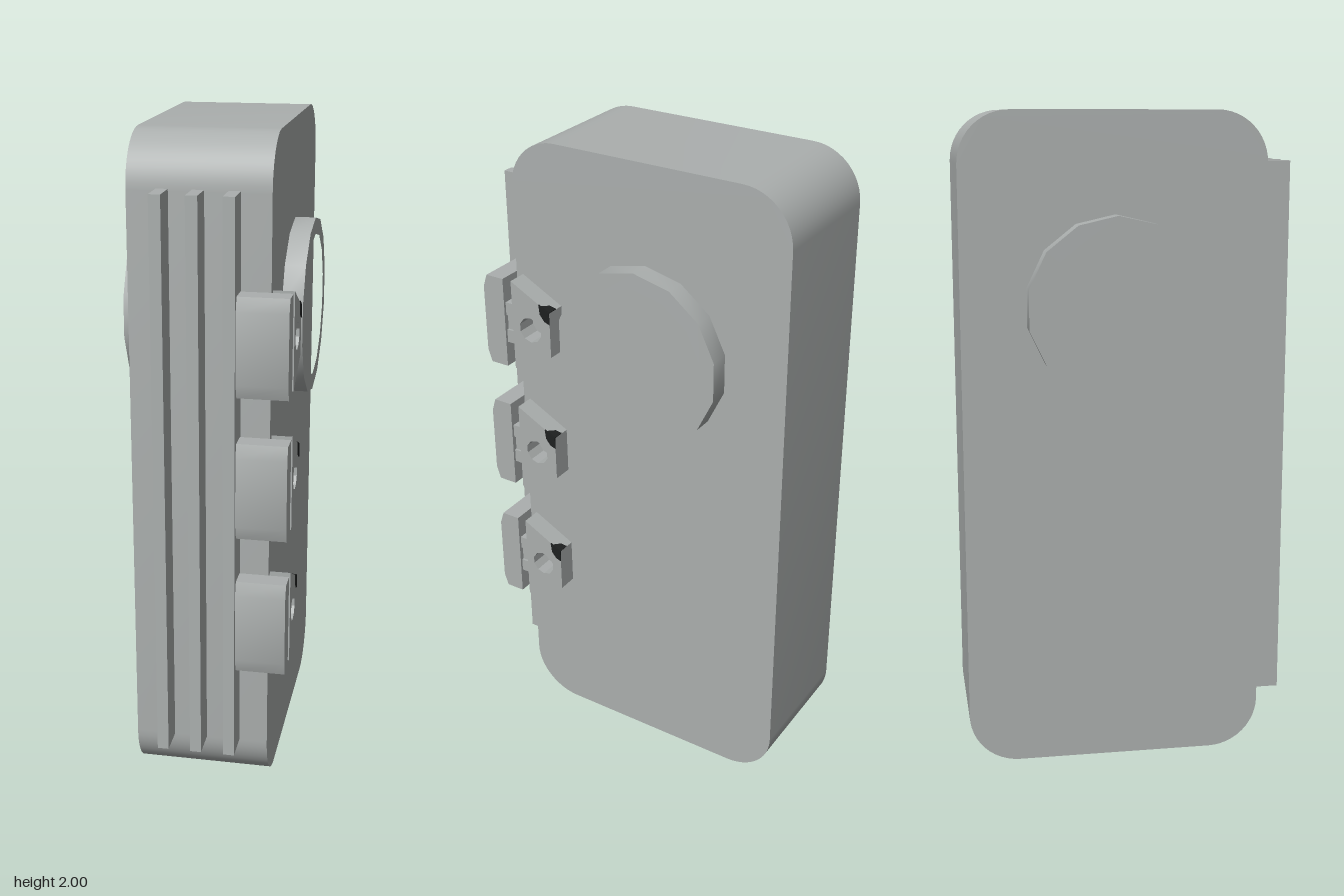
import * as THREE from 'three';
import { toCreasedNormals } from 'three/addons/utils/BufferGeometryUtils.js';

const metal = new THREE.MeshStandardMaterial({ color: 0xabafae });
metal.name = 'grey metal';
const black = new THREE.MeshStandardMaterial({ color: 0x1e2020 });
black.name = 'black mark';

function addMesh(parent, name, geometry, material = metal) {
  const mesh = new THREE.Mesh(geometry, material);
  mesh.name = name;
  parent.add(mesh);
  return mesh;
}

// Box given by its lower and upper corners
function boxBetween(x0, x1, y0, y1, z0, z1) {
  return new THREE.BoxGeometry(x1 - x0, y1 - y0, z1 - z0)
    .translate((x0 + x1) / 2, (y0 + y1) / 2, (z0 + z1) / 2);
}

// Extrude a side profile, drawn with u = -z and v = y, from x0 to x1
function extrudeAcross(shape, x0, x1, curveSegments = 6) {
  const geometry = new THREE.ExtrudeGeometry(shape, { depth: x1 - x0, bevelEnabled: false, curveSegments });
  geometry.rotateY(Math.PI / 2).translate(x0, 0, 0);
  return toCreasedNormals(geometry, 0.6);
}

// Straight-sided profile from [z, y] points
function profile(points) {
  return new THREE.Shape(points.map(([z, y]) => new THREE.Vector2(-z, y)));
}

function roundedSide(z0, z1, y0, y1, r) {
  const a = -z1, b = -z0;
  const s = new THREE.Shape();
  s.moveTo(a + r, y0);
  s.lineTo(b - r, y0);
  s.absarc(b - r, y0 + r, r, -Math.PI / 2, 0);
  s.lineTo(b, y1 - r);
  s.absarc(b - r, y1 - r, r, 0, Math.PI / 2);
  s.lineTo(a + r, y1);
  s.absarc(a + r, y1 - r, r, Math.PI / 2, Math.PI);
  s.lineTo(a, y0 + r);
  s.absarc(a + r, y0 + r, r, Math.PI, Math.PI * 1.5);
  return s;
}

// Points of a regular polygon with a corner at the top
function polygon(z, y, r, n) {
  return Array.from({ length: n }, (_, i) => {
    const t = Math.PI / 2 + (i / n) * Math.PI * 2;
    return [z + r * Math.cos(t), y + r * Math.sin(t)];
  });
}

function createLatch() {
  const latch = new THREE.Group();
  latch.name = 'latch';

  // Tapered side bracket with a bolt hole
  const bracket = profile([[0.39, 0.145], [0.39, -0.145], [0.253, -0.073], [0.253, 0.073]]);
  bracket.holes.push(profile(polygon(0.325, 0, 0.04, 10)));
  addMesh(latch, 'latchBracket', extrudeAcross(bracket, 0.2, 0.265));

  // Front plate with sloping upper and lower ends
  const plate = profile([[0.42, 0.145], [0.42, -0.145], [0.48, -0.145], [0.493, -0.105], [0.493, 0.105], [0.48, 0.145]]);
  addMesh(latch, 'latchPlate', extrudeAcross(plate, 0.115, 0.265));

  // Hinge knuckles joining the bracket and plate
  for (const s of [-1, 1]) {
    addMesh(latch, 'hingeKnuckle', boxBetween(0.21, 0.257, s * 0.045 - 0.021, s * 0.045 + 0.021, 0.385, 0.425));
  }
  addMesh(latch, 'hingePin', boxBetween(0.217, 0.25, -0.03, 0.03, 0.385, 0.425));

  // Dark mark on the rear upper corner of the bracket
  const sideMark = profile([[0.253, 0.074], [0.29, 0.093], [0.286, 0.062], [0.27, 0.042], [0.253, 0.036]]);
  addMesh(latch, 'sideMark', extrudeAcross(sideMark, 0.263, 0.267));
  latch.children.at(-1).material = black;
  const topMark = new THREE.Shape([[0.232, -0.253], [0.24, -0.272], [0.266, -0.286], [0.266, -0.253]]
    .map(([x, v]) => new THREE.Vector2(x, v)));
  const topGeometry = new THREE.ExtrudeGeometry(topMark, { depth: 0.004, bevelEnabled: false })
    .rotateX(-Math.PI / 2)
    .translate(0, 0, -0.253)
    .rotateX(Math.atan2(-0.072, 0.137) * -1 * -1)
    .translate(0, 0.073, 0.253);
  addMesh(latch, 'topMark', topGeometry, black);
  return latch;
}

export function createModel() {
  const model = new THREE.Group();
  model.name = 'casing';

  // Rounded slab body
  addMesh(model, 'body', extrudeAcross(roundedSide(-0.505, 0.413, 0, 2, 0.155), -0.205, 0.203));

  // Raised ring on each side
  for (const [x0, x1] of [[-0.27, -0.2], [0.198, 0.265]]) {
    const ring = profile(polygon(-0.045, 1.43, 0.27, 14));
    ring.holes.push(profile(polygon(-0.045, 1.43, 0.22, 14)));
    addMesh(model, 'sideRing', extrudeAcross(ring, x0, x1));
  }

  // Upright fins along the front
  for (const x of [-0.103, -0.002, 0.1]) {
    addMesh(model, 'frontFin', boxBetween(x - 0.017, x + 0.017, 0.155, 1.85, 0.405, 0.505));
  }

  // Three latches down the left edge
  for (const y of [0.578, 1.005, 1.43]) {
    const latch = createLatch();
    latch.position.y = y;
    model.add(latch);
  }
  return model;
}
